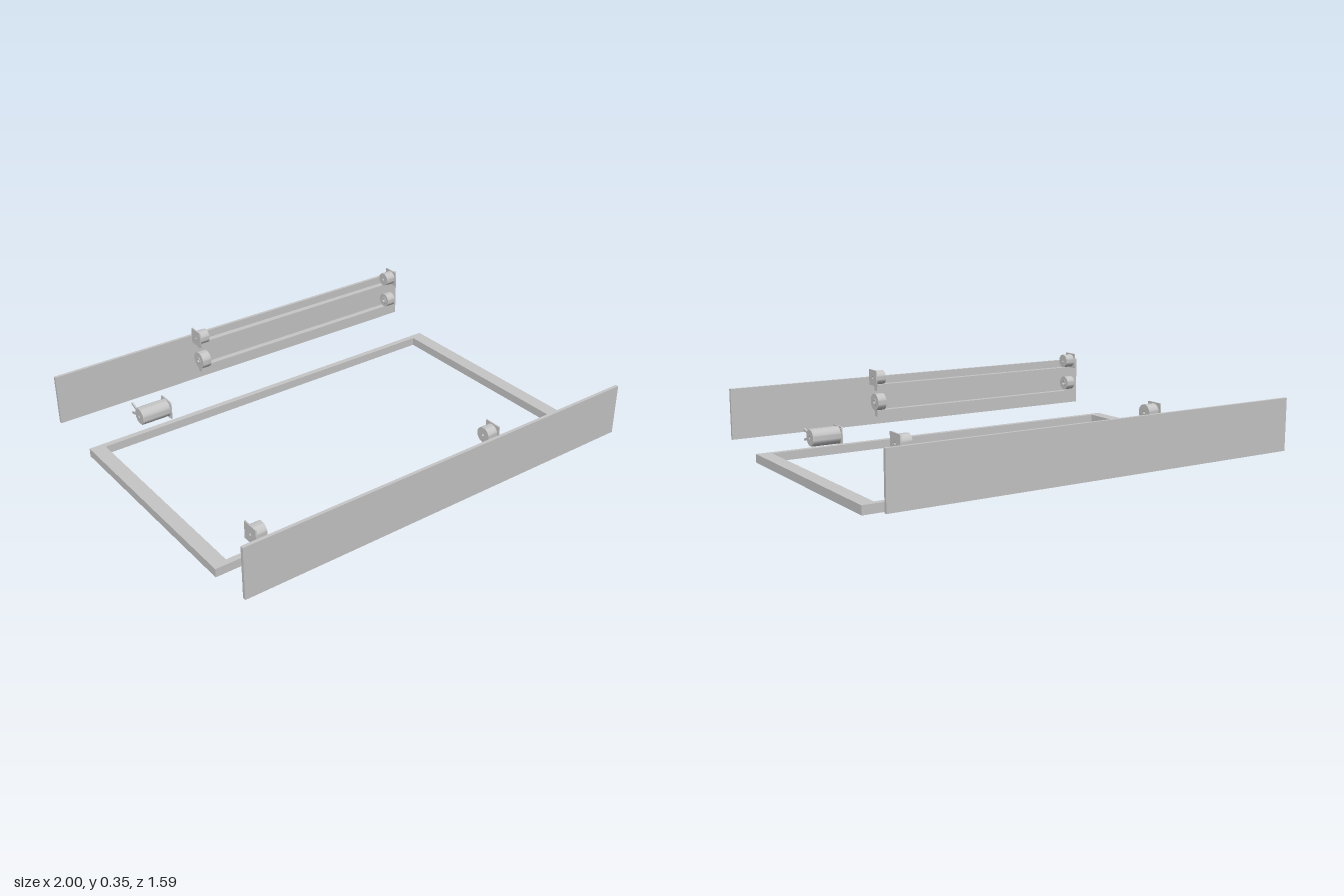
import * as THREE from 'three';
import { toCreasedNormals } from 'three/addons/utils/BufferGeometryUtils.js';

const grey = new THREE.MeshStandardMaterial({ color: 0xc6c6c6 });
grey.name = 'light grey';

function add(parent, name, geometry, x = 0, y = 0, z = 0) {
  const mesh = new THREE.Mesh(geometry, grey);
  mesh.name = name;
  mesh.position.set(x, y, z);
  parent.add(mesh);
  return mesh;
}

// Box given by its limits on each axis
function block(parent, name, x0, x1, y0, y1, z0, z1) {
  return add(parent, name, new THREE.BoxGeometry(x1 - x0, y1 - y0, z1 - z0),
    (x0 + x1) / 2, (y0 + y1) / 2, (z0 + z1) / 2);
}

// Turned part along x; profile points are [radius, x]
function turned(profile) {
  const points = profile.map(([r, x]) => new THREE.Vector2(r, x));
  return toCreasedNormals(new THREE.LatheGeometry(points, 32).rotateZ(-Math.PI / 2), 0.6);
}

// Rounded square plate facing x, with round holes [u, v, radius]
function plate(size, corner, thickness, holes) {
  const h = size / 2, c = h - corner;
  const shape = new THREE.Shape();
  shape.absarc(c, c, corner, 0, Math.PI / 2);
  shape.absarc(-c, c, corner, Math.PI / 2, Math.PI);
  shape.absarc(-c, -c, corner, Math.PI, Math.PI * 1.5);
  shape.absarc(c, -c, corner, Math.PI * 1.5, Math.PI * 2);
  shape.closePath();
  for (const [u, v, r] of holes) {
    shape.holes.push(new THREE.Path().absarc(u, v, r, 0, Math.PI * 2, true));
  }
  const g = new THREE.ExtrudeGeometry(shape, { depth: thickness, bevelEnabled: false, curveSegments: 8 });
  return toCreasedNormals(g.translate(0, 0, -thickness / 2).rotateY(Math.PI / 2), 0.6);
}

// Motor lying along x: mounting plate at -x, terminals at +x
function motor() {
  const g = new THREE.Group();
  g.name = 'motor';
  add(g, 'motorBody', turned([[0, -0.068], [0.043, -0.068], [0.043, 0.07],
    [0.039, 0.075], [0.009, 0.075], [0.009, 0.071], [0, 0.071]]));
  const s = 0.036;
  add(g, 'mountingPlate', plate(0.09, 0.008, 0.007,
    [[0, 0, 0.01], [s, s, 0.004], [-s, s, 0.004], [s, -s, 0.004], [-s, -s, 0.004]]), -0.0715);
  add(g, 'motorShaft', new THREE.CylinderGeometry(0.005, 0.005, 0.01, 16).rotateZ(Math.PI / 2), -0.07);
  // Two flat terminals spreading outward
  for (const side of [-1, 1]) {
    const terminal = add(g, 'motorTerminal', new THREE.BoxGeometry(0.008, 0.01, 0.066), 0.062, side * 0.0165, 0.06);
    terminal.rotation.x = -side * 0.28;
  }
  return g;
}

// Bracket with a round housing, and the drum below it; out is the outer x direction
function rollerSet(x, out, drumRadius) {
  const g = new THREE.Group();
  g.name = 'rollerSet';
  add(g, 'bracketPlate', plate(0.078, 0.001, 0.006, [[0, 0, 0.006]]), out * 0.025, 0.309, 0.743);
  const bore = 0.006, r = 0.034, w = 0.025;
  add(g, 'bracketHousing', turned([[bore, -w], [r, -w], [r, w], [bore, w], [bore, -w]]), -out * 0.003, 0.309, 0.741);
  const d = drumRadius;
  add(g, 'drum', turned([[0.009, -0.026], [0.017, -0.026], [0.017, -0.023], [d, -0.023],
    [d, 0.023], [0.017, 0.023], [0.017, 0.026], [0.009, 0.026], [0.009, -0.026]]), 0, 0.187, 0.737);
  g.position.x = x;
  return g;
}

// Side assembly on the +z side
function sideAssembly() {
  const g = new THREE.Group();
  g.name = 'sideAssembly';
  block(g, 'sidePanel', -1, 1, 0.067, 0.308, 0.781, 0.796);
  block(g, 'upperRail', -0.905, 0.255, 0.238, 0.27, 0.752, 0.782);
  block(g, 'lowerRail', -0.905, 0.255, 0.107, 0.14, 0.752, 0.782);
  g.add(rollerSet(-0.906, -1, 0.035), rollerSet(0.254, 1, 0.042));
  const m = motor();
  m.position.set(0.606, 0.07, 0.616);
  g.add(m);
  return g;
}

export function createModel() {
  const model = new THREE.Group();
  model.name = 'slidingFrameKit';

  // Flat rectangular base frame
  for (const s of [-1, 1]) {
    block(model, 'frameEnd', s * 0.9435 - 0.0335, s * 0.9435 + 0.0335, 0, 0.04, -0.543, 0.543);
    block(model, 'frameSide', -0.91, 0.91, 0, 0.04, s * 0.529 - 0.014, s * 0.529 + 0.014);
  }

  // Two identical sides, turned half a circle
  const front = sideAssembly();
  const back = front.clone();
  back.rotation.y = Math.PI;
  model.add(front, back);
  return model;
}
